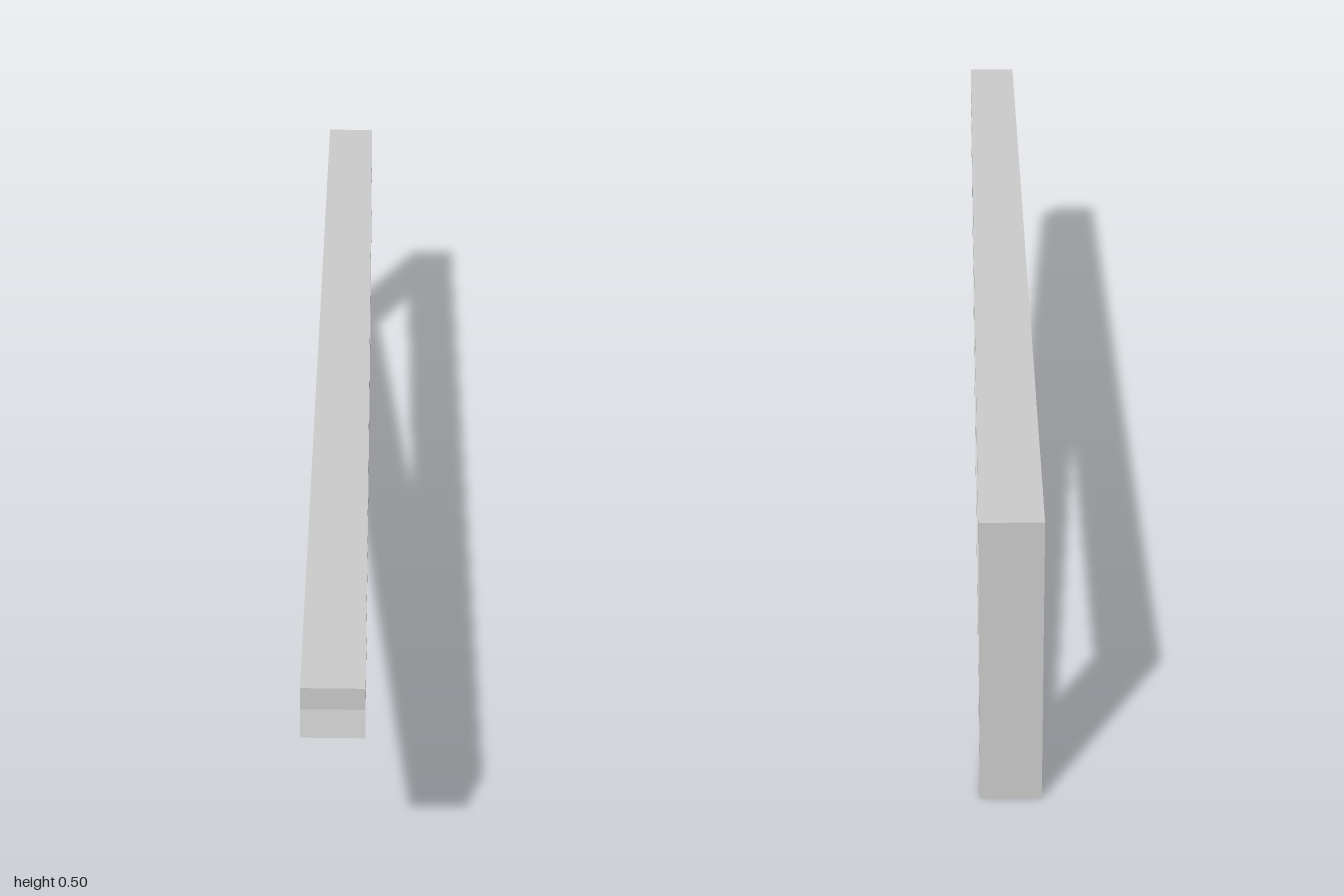
import * as THREE from 'three';

const WIDTH = 0.096;
const THICK = 0.04;

export function createModel() {
  const group = new THREE.Group();
  group.name = 'shelfBracket';
  const material = new THREE.MeshStandardMaterial({ color: 0xcccccc, flatShading: true });

  // Top arm and back upright as one L-shaped bar, drawn as (z, y) points
  const profile = new THREE.Shape([
    [-1, 0], [-1 + THICK, 0], [-1 + THICK, 0.5 - THICK],
    [0.983, 0.5 - THICK], [0.983, 0.5], [-1, 0.5],
  ].map(([z, y]) => new THREE.Vector2(z, y)));
  const angleGeometry = new THREE.ExtrudeGeometry(profile, { depth: WIDTH, bevelEnabled: false });
  angleGeometry.translate(0, 0, -WIDTH / 2);
  angleGeometry.rotateY(-Math.PI / 2); // profile x becomes z
  const angleBar = new THREE.Mesh(angleGeometry, material);
  angleBar.name = 'armAndUpright';
  group.add(angleBar);

  // Diagonal brace, placed by the two ends of its underside
  const back = new THREE.Vector3(0, 0.005, -0.952);
  const front = new THREE.Vector3(0, 0.42, 1);
  const tilt = Math.atan2(front.y - back.y, front.z - back.z);
  const brace = new THREE.Mesh(
    new THREE.BoxGeometry(WIDTH, THICK, back.distanceTo(front)), material);
  brace.name = 'diagonalBrace';
  brace.rotation.x = -tilt;
  brace.position.addVectors(back, front).multiplyScalar(0.5);
  brace.position.y += Math.cos(tilt) * THICK / 2;
  brace.position.z -= Math.sin(tilt) * THICK / 2;
  group.add(brace);

  return group;
}
